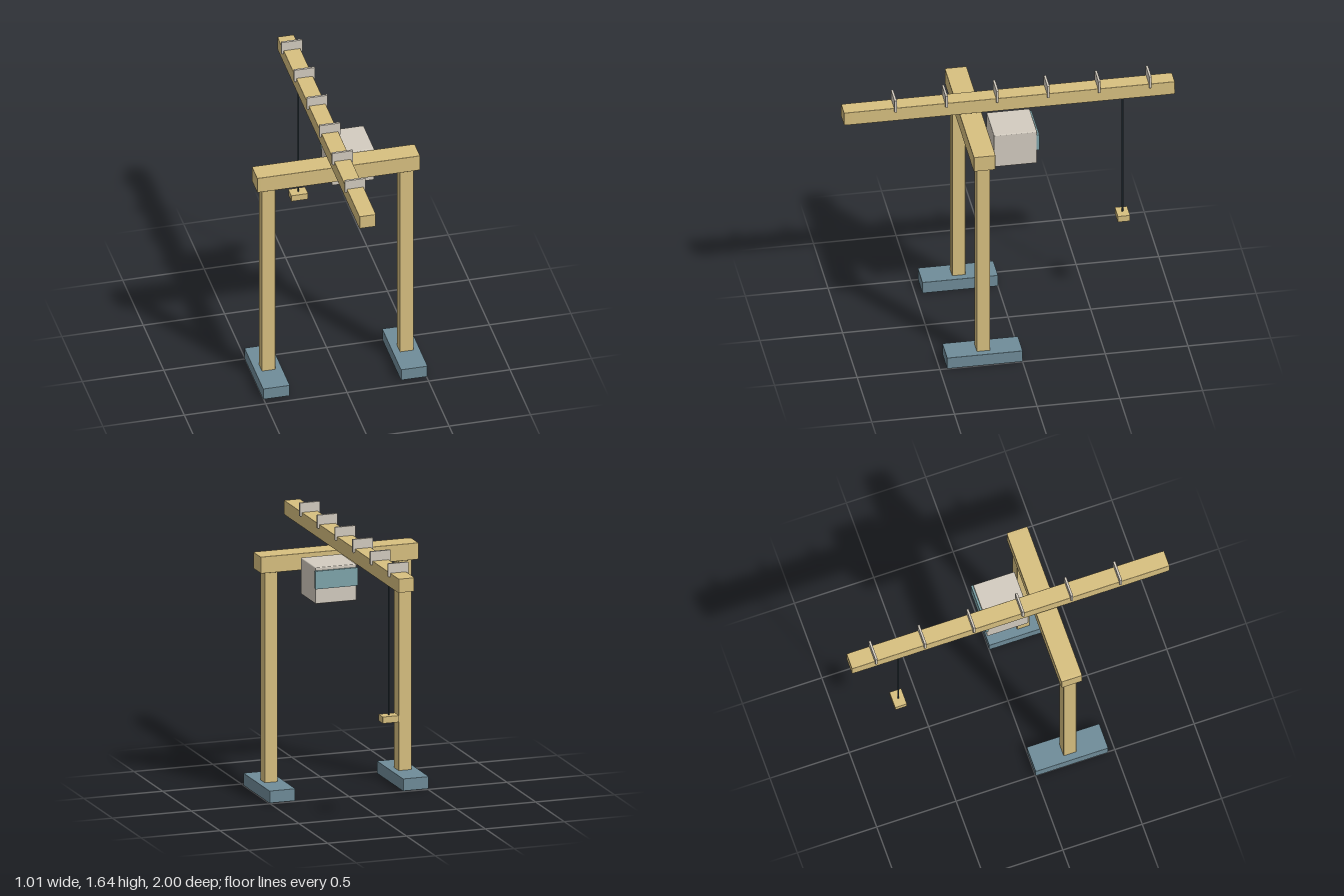
import * as THREE from 'three';
import { RoundedBoxGeometry } from 'three/addons/geometries/RoundedBoxGeometry.js';

const material = (color) => new THREE.MeshStandardMaterial({ color });

export function createModel() {
  const crane = new THREE.Group();
  crane.name = 'gantryCrane';

  const yellow = material(0xd8c080);
  const slate = material(0x6f8c99);
  const cream = material(0xd3ccc0);
  const glass = material(0x7fa5ab);
  const steel = material(0x33424c);

  // One softly bevelled unit block, stretched to fit each part
  const block = new RoundedBoxGeometry(1, 1, 1, 2, 0.025);
  function addBlock(name, mat, [x0, x1], [y0, y1], [z0, z1]) {
    const mesh = new THREE.Mesh(block, mat);
    mesh.name = name;
    mesh.scale.set(x1 - x0, y1 - y0, z1 - z0);
    mesh.position.set((x0 + x1) / 2, (y0 + y1) / 2, (z0 + z1) / 2);
    crane.add(mesh);
    return mesh;
  }

  // Feet and legs, mirrored left and right
  for (const [side, s] of [['left', 1], ['right', -1]]) {
    const span = (centre, width) => [s * centre - width / 2, s * centre + width / 2];
    addBlock(side + 'Foot', slate, span(0.423, 0.164), [0.003, 0.08], [0, 0.457]);
    addBlock(side + 'Leg', yellow, span(0.424, 0.082), [0, 1.4], [0.19, 0.27]);
  }

  // Portal beam across the legs and the long boom above it
  addBlock('crossBeam', yellow, [-0.5, 0.5], [1.375, 1.478], [0.163, 0.295]);
  addBlock('boom', yellow, [-0.051, 0.051], [1.498, 1.586], [-1, 1]);

  // Evenly spaced ribs on the boom
  for (let i = 0; i < 6; i++) {
    const z = 0.69 - i * 0.308;
    addBlock('boomRib' + (i + 1), cream, [-0.064, 0.064], [1.563, 1.645], [z - 0.007, z + 0.007]);
  }

  // Operator cabin with its rear window
  addBlock('cabin', cream, [0, 0.26], [1.238, 1.462], [-0.13, 0.13]);
  addBlock('cabinWindow', glass, [-0.006, 0.266], [1.332, 1.443], [-0.143, -0.125]);

  // Hoist cable and load block
  const cable = new THREE.Mesh(new THREE.CylinderGeometry(0.005, 0.005, 0.83, 8), steel);
  cable.name = 'hoistCable';
  cable.position.set(0, 1.075, -0.692);
  crane.add(cable);
  addBlock('loadBlock', yellow, [-0.052, 0.052], [0.63, 0.671], [-0.729, -0.655]);

  return crane;
}
